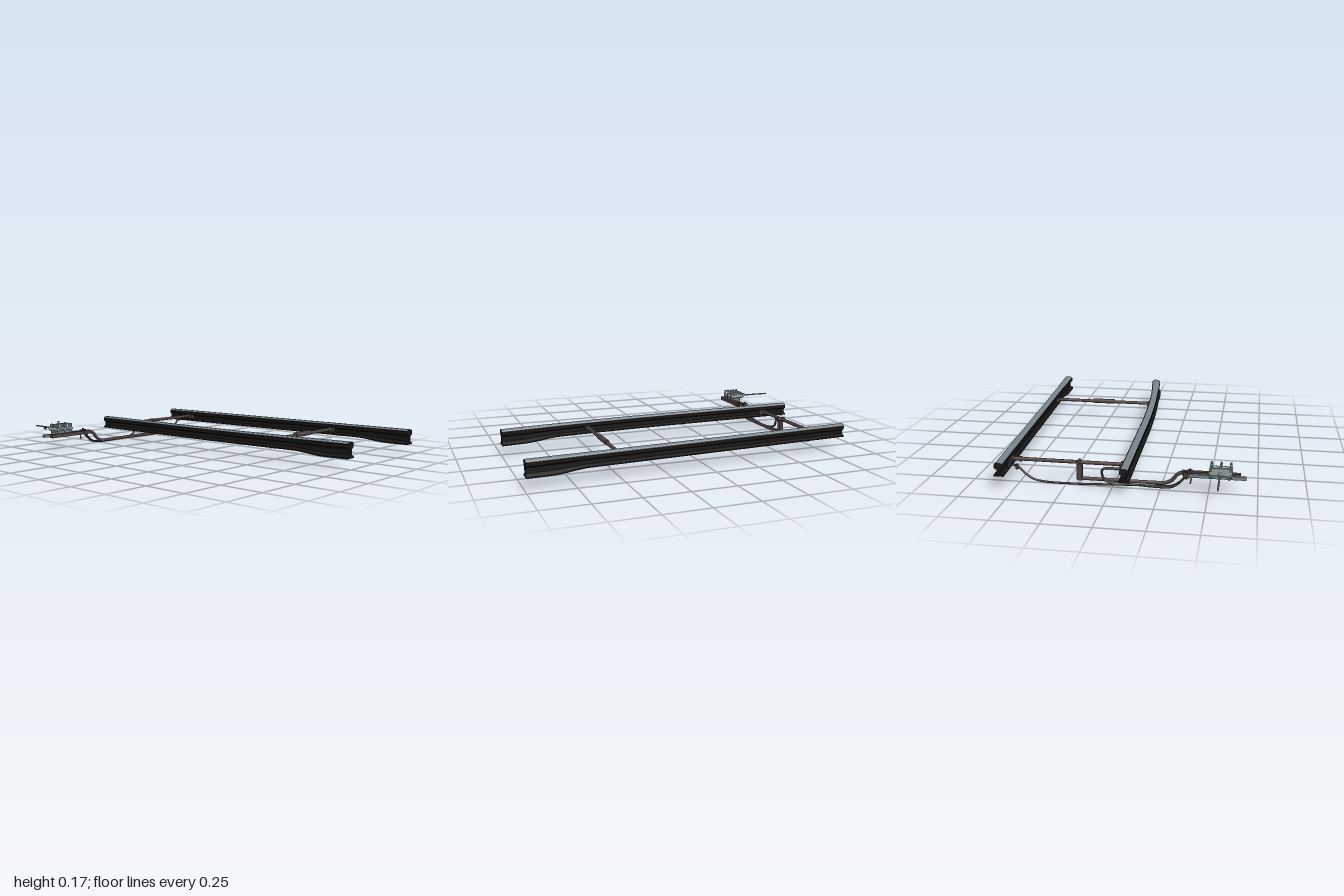
import * as THREE from 'three';

const mat = (name, color) => Object.assign(new THREE.MeshStandardMaterial({ color }), { name });

export function createModel() {
  const root = new THREE.Group();
  const black = mat('blackened iron', 0x171717);
  const steel = mat('worn steel', 0x78848b);
  const brown = mat('rusty brown', 0x504343);
  const dark = mat('dark rod iron', 0x3a3737);
  const pale = mat('pale metal', 0x94a1a1);

  const add = (name, geo, material, parent = root) => {
    const m = new THREE.Mesh(geo, material);
    m.name = name;
    parent.add(m);
    return m;
  };
  const box = (name, w, h, d, x, y, z, m, parent) => {
    const b = add(name, new THREE.BoxGeometry(w, h, d), m, parent);
    b.position.set(x, y, z);
    return b;
  };
  // Cylinder between two points
  const rod = (name, a, b, r, m, parent, sides = 14) => {
    const p = new THREE.Vector3(...a), q = new THREE.Vector3(...b);
    const c = add(name, new THREE.CylinderGeometry(r, r, p.distanceTo(q), sides), m, parent);
    c.position.copy(p).add(q).multiplyScalar(0.5);
    c.quaternion.setFromUnitVectors(new THREE.Vector3(0, 1, 0), q.sub(p).normalize());
    return c;
  };
  const tube = (name, pts, r, m) => {
    const curve = new THREE.CatmullRomCurve3(pts.map(p => new THREE.Vector3(...p)), false, 'centripetal');
    return add(name, new THREE.TubeGeometry(curve, 70, r, 8), m);
  };

  // Mirrored half profile, swept along x and warped to the rail's line
  const sweep = (half, x0, x1, centre) => {
    const pts = [...half, ...half.map(([a, b]) => [-a, b]).reverse()];
    const shape = new THREE.Shape(pts.map(p => new THREE.Vector2(...p)));
    const geo = new THREE.ExtrudeGeometry(shape, { depth: 1, steps: 36, bevelEnabled: false });
    const p = geo.attributes.position;
    for (let i = 0; i < p.count; i++) {
      const x = THREE.MathUtils.lerp(x0, x1, p.getZ(i));
      const drop = THREE.MathUtils.smoothstep(x, 0.66, 0.86);
      const y = p.getY(i), low = THREE.MathUtils.clamp((0.122 - y) / 0.042, 0, 1);
      p.setXYZ(i, x, y - 0.016 * drop * low, centre(x) - p.getX(i) * (1 + 0.2 * drop));
    }
    geo.computeVertexNormals();
    return geo;
  };
  const bodyProfile = [[0.027, 0.075], [0.027, 0.081], [0.009, 0.091], [0.009, 0.112], [0.022, 0.119], [0.023, 0.137], [0.0195, 0.141]];
  const headProfile = [[0.0195, 0.141], [0.017, 0.145], [0.011, 0.148]];
  const rails = [
    ['frontRail', -0.87, 0.995, x => x < -0.1 ? 0.08 - 0.016 * (x + 0.87)
      : 0.0677 - 0.016 * (x + 0.1) - 0.0455 * (x + 0.1) ** 2],
    ['backRail', -0.885, 0.99, x => -0.57 - 0.0507 * (x + 0.885)],
  ];
  for (const [name, x0, x1, centre] of rails) {
    const g = new THREE.Group();
    g.name = name;
    root.add(g);
    add('railBody', sweep(bodyProfile, x0, x1, centre), black, g);
    // Bright running surface with dark cut ends
    add('railHead', sweep(headProfile, x0, x1, centre), [black, steel], g);
    // Bolts through the web beside the spacer bar
    for (const x of [0.452, 0.516]) {
      rod('webBolt', [x, 0.104, centre(x) - 0.017], [x, 0.104, centre(x) + 0.017], 0.006, dark, g, 6);
    }
  }

  // Spacer bar with its thicker sleeve
  rod('spacerBar', [0.483, 0.112, 0.035], [0.483, 0.112, -0.635], 0.01, brown);
  rod('spacerSleeve', [0.483, 0.114, -0.22], [0.483, 0.114, -0.37], 0.015, brown);
  for (const z of [0.015, -0.61]) box('spacerBracket', 0.03, 0.028, 0.02, 0.483, 0.108, z, brown);

  // Stretcher bar between the rails at the left end, with a post down to the drive bar
  rod('stretcherBar', [-0.7, 0.11, 0.065], [-0.7, 0.11, -0.575], 0.01, brown);
  box('post', 0.022, 0.095, 0.03, -0.7, 0.058, -0.185, brown);
  rod('postPin', [-0.722, 0.11, -0.19], [-0.675, 0.11, -0.19], 0.011, brown);
  for (const z of [-0.5, -0.545]) rod('stretcherCollar', [-0.7, 0.11, z], [-0.7, 0.11, z - 0.018], 0.014, brown);
  for (const z of [-0.557, 0.045]) box('railBracket', 0.06, 0.025, 0.02, -0.7, 0.105, z, brown);

  // Cranked drive bar dipping below the front rail
  tube('driveBar', [[-0.7, 0.09, 0.4], [-0.7, 0.088, 0.365], [-0.7, 0.073, 0.335], [-0.7, 0.038, 0.305],
    [-0.7, 0.022, 0.27], [-0.7, 0.02, 0.22], [-0.7, 0.02, 0], [-0.7, 0.02, -0.2]], 0.01, brown);
  box('driveBarEnd', 0.024, 0.022, 0.3, -0.703, 0.086, 0.51, brown);
  box('slideBar', 0.018, 0.017, 0.29, -0.74, 0.086, 0.545, steel);

  // Detector rods, one to each rail
  tube('shortRod', [[-0.742, 0.088, 0.42], [-0.742, 0.078, 0.38], [-0.742, 0.045, 0.35], [-0.742, 0.018, 0.31],
    [-0.74, 0.012, 0.25], [-0.725, 0.012, 0.08], [-0.735, 0.015, 0], [-0.738, 0.035, -0.045],
    [-0.74, 0.07, -0.057], [-0.742, 0.095, -0.05], [-0.742, 0.1, 0.06]], 0.0065, dark);
  tube('longRod', [[-0.722, 0.085, 0.42], [-0.722, 0.077, 0.385], [-0.722, 0.045, 0.355], [-0.722, 0.018, 0.315],
    [-0.72, 0.012, 0.26], [-0.73, 0.01, 0.08], [-0.74, 0.008, -0.05], [-0.748, 0.006, -0.2], [-0.754, 0.01, -0.36],
    [-0.757, 0.022, -0.42], [-0.758, 0.055, -0.47], [-0.76, 0.09, -0.505], [-0.765, 0.098, -0.55]], 0.006, dark);
  rod('rodLug', [-0.76, 0.075, -0.51], [-0.76, 0.1, -0.51], 0.009, dark);
  box('rodPlate', 0.04, 0.02, 0.014, -0.765, 0.1, -0.547, dark);

  // Forked joints where the bars meet the mechanism
  for (const [x, z] of [[-0.7, 0.4], [-0.742, 0.385]]) {
    box('forkJoint', 0.026, 0.022, 0.032, x, 0.087, z, brown);
    rod('forkPin', [x, 0.066, z], [x, 0.106, z], 0.006, dark);
  }
  rod('hangingPin', [-0.74, 0.075, 0.41], [-0.74, 0.04, 0.405], 0.004, steel);

  // Clamp mechanism over the two sliding bars
  const clamp = new THREE.Group();
  clamp.name = 'clampMechanism';
  root.add(clamp);
  box('clampBase', 0.05, 0.012, 0.1, -0.74, 0.103, 0.56, pale, clamp);
  for (const z of [0.51, 0.56, 0.61]) {
    rod('clampRoller', [-0.785, 0.122, z], [-0.695, 0.122, z], 0.01, pale, clamp);
    box('clampStrap', 0.07, 0.008, 0.012, -0.735, 0.147, z, pale, clamp);
    for (const x of [-0.765, -0.722, -0.7]) rod('clampBolt', [x, 0.09, z], [x, 0.154, z], 0.005, pale, clamp, 8);
  }
  for (const x of [-0.78, -0.745]) box('clampCheek', 0.008, 0.04, 0.095, x, 0.128, 0.56, pale, clamp);
  rod('clampDrum', [-0.75, 0.135, 0.52], [-0.75, 0.135, 0.6], 0.015, pale, clamp);
  rod('clampPeg', [-0.762, 0.13, 0.56], [-0.762, 0.165, 0.56], 0.006, pale, clamp);

  // Slim pointer rod reaching outwards and a small loose pin
  rod('pointerRod', [-1, 0.118, 0.558], [-0.78, 0.118, 0.558], 0.0045, steel, clamp, 8);
  rod('pointerCollar', [-0.82, 0.118, 0.558], [-0.785, 0.118, 0.558], 0.01, pale, clamp);
  rod('sidePin', [-0.85, 0.118, 0.606], [-0.825, 0.118, 0.606], 0.006, steel, clamp, 8);

  return root;
}
